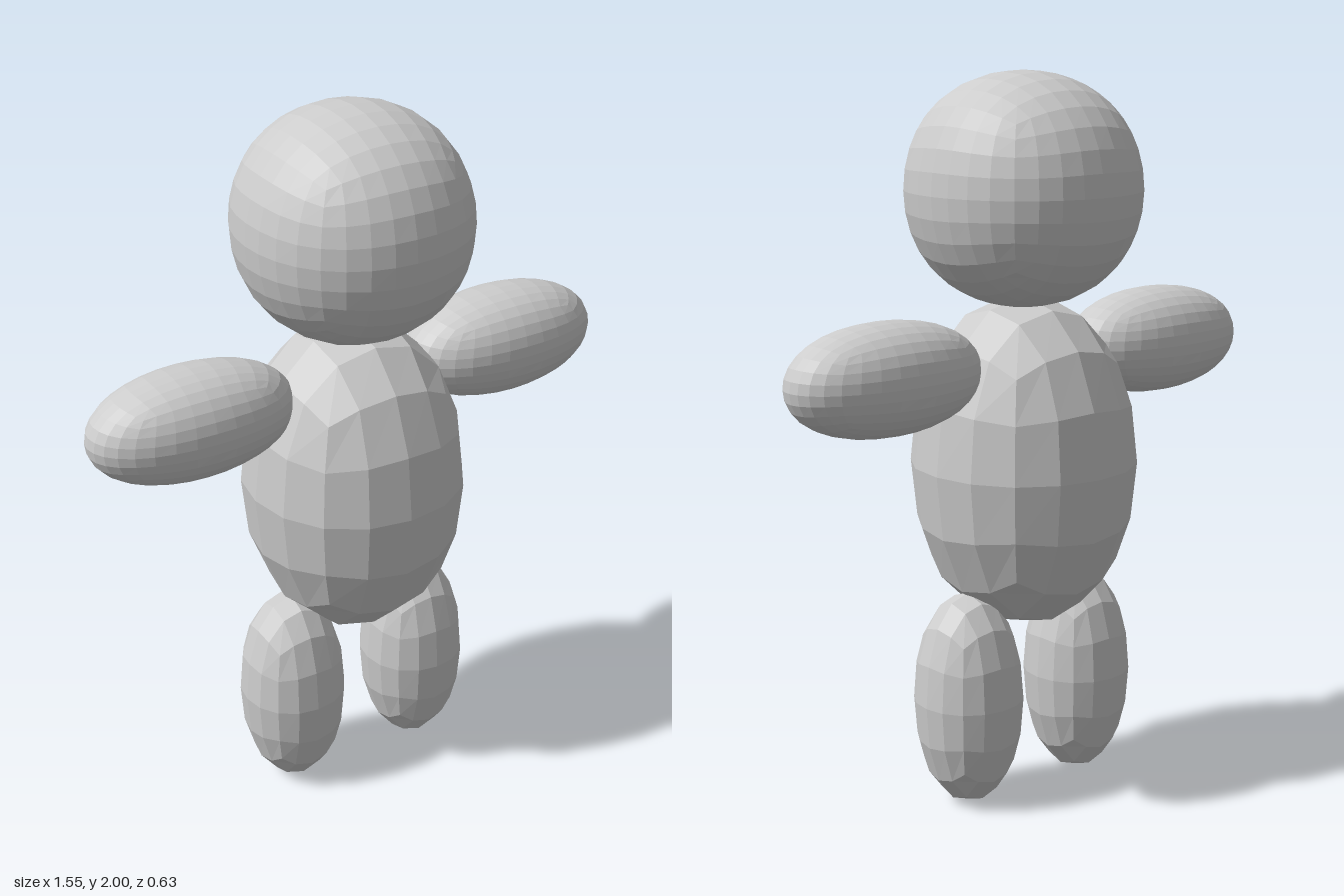
import * as THREE from 'three';

const clay = new THREE.MeshStandardMaterial({ color: 0xcccccc });
clay.name = 'clay grey';

// Faceted ellipsoid: a gridded cube rounded the way a subdivided cube is.
function roundedCube(name, segments, center, radii) {
  const box = new THREE.BoxGeometry(2, 2, 2, segments, segments, segments);
  const pos = box.attributes.position;
  const v = new THREE.Vector3();
  // Even angles along face middles, even spacing along cube edges
  const warp = (a, b, c) => {
    const edge = Math.min(Math.abs(b), Math.abs(c)) ** 4;
    return THREE.MathUtils.lerp(Math.tan(a * Math.PI / 4), a, edge);
  };
  for (let i = 0; i < pos.count; i++) {
    const [x, y, z] = [pos.getX(i), pos.getY(i), pos.getZ(i)];
    v.set(warp(x, y, z), warp(y, x, z), warp(z, x, y)).normalize();
    // Edges and corners bulge slightly beyond a true sphere
    v.multiplyScalar(1 + 0.05 * (1 - v.x ** 4 - v.y ** 4 - v.z ** 4));
    pos.setXYZ(i, v.x * radii[0], v.y * radii[1], v.z * radii[2]);
  }
  // Unshared corners give flat facets
  const geometry = box.toNonIndexed();
  geometry.computeVertexNormals();
  const mesh = new THREE.Mesh(geometry, clay);
  mesh.name = name;
  mesh.position.set(...center);
  return mesh;
}

export function createModel() {
  const model = new THREE.Group();
  model.name = 'simple figure';

  model.add(roundedCube('head', 8, [0, 1.685, 0], [0.315, 0.315, 0.315]));
  model.add(roundedCube('body', 4, [0, 0.94, 0], [0.305, 0.46, 0.305]));

  // Mirrored limbs
  for (const [side, s] of [['left', 1], ['right', -1]]) {
    model.add(roundedCube(side + 'Arm', 8, [s * 0.48, 1.23, -0.01], [0.295, 0.15, 0.15]));
    model.add(roundedCube(side + 'Leg', 4, [s * 0.2, 0.3, 0], [0.148, 0.3, 0.148]));
  }
  return model;
}
